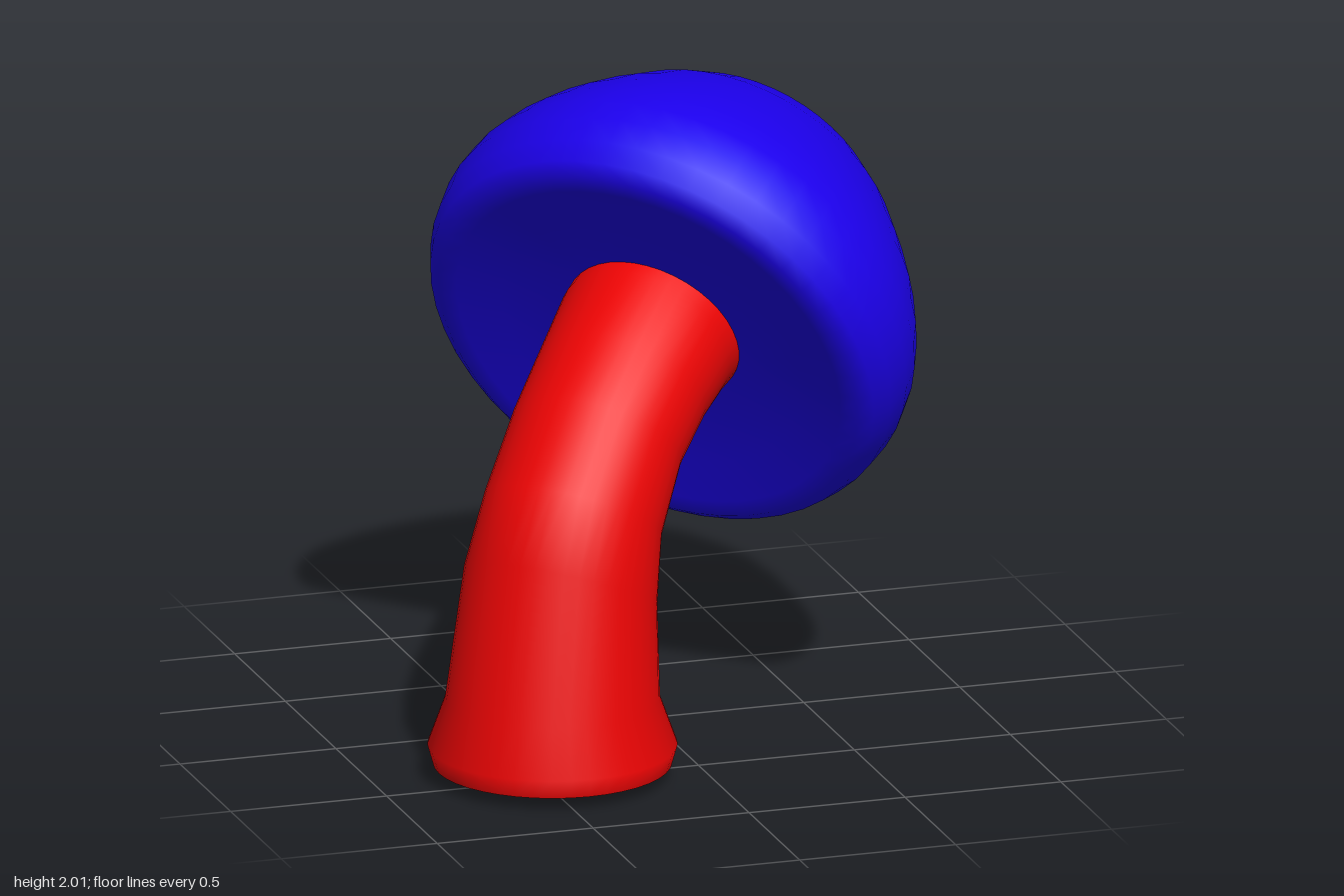
import * as THREE from 'three';

const RED = new THREE.MeshStandardMaterial({ color: 0xec0404 });
const BLUE = new THREE.MeshStandardMaterial({ color: 0x1c00ec });

// Skin through tilted ovals along a path: [x, y, radius, tilt in degrees, sideways radius, sideways shift]
function loft(rings, sides) {
  const positions = [], index = [];
  rings.forEach(([x, y, r, tilt, side = r, shift = 0], i) => {
    const t = THREE.MathUtils.degToRad(tilt);
    for (let j = 0; j < sides; j++) {
      const a = (j / sides) * Math.PI * 2;
      const u = r * Math.cos(a);
      positions.push(x + u * Math.cos(t), y - u * Math.sin(t), shift + side * Math.sin(a));
      if (i === rings.length - 1) continue;
      const k = (j + 1) % sides;
      const p = i * sides + j, q = i * sides + k;
      index.push(p, p + sides, q, q, p + sides, q + sides);
    }
  });
  const geometry = new THREE.BufferGeometry();
  geometry.setAttribute('position', new THREE.Float32BufferAttribute(positions, 3));
  geometry.setIndex(index);
  geometry.computeVertexNormals();
  return geometry;
}

function addMesh(parent, name, geometry, material) {
  const mesh = new THREE.Mesh(geometry, material);
  mesh.name = name;
  parent.add(mesh);
  return mesh;
}

export function createModel() {
  const model = new THREE.Group();
  model.name = 'mushroom';

  // The mushroom bends in one plane, turned towards the back left
  const bent = new THREE.Group();
  bent.name = 'bentMushroom';
  bent.rotation.y = Math.PI / 4;
  model.add(bent);

  // Stem: flared foot, narrow bend, wider again where it enters the cap
  const foot = [-0.64, 0.04, 0.365, 0];
  addMesh(bent, 'stem', loft([
    foot,
    [-0.64, 0.1, 0.382, 0],
    [-0.64, 0.25, 0.328, 0],
    [-0.605, 0.6, 0.305, 26, 0.3, 0.01],
    [-0.53, 0.81, 0.27, 32, 0.28, 0.015],
    [-0.367, 1.01, 0.25, 43, 0.272, 0.015],
    [-0.2, 1.135, 0.252, 52, 0.275, 0.015],
    [-0.04, 1.225, 0.27, 66, 0.285, 0.01],
    [0.12, 1.28, 0.28, 70, 0.29, 0.01],
  ], 40), RED);

  // Slightly bulging underside of the foot
  addMesh(bent, 'stemBase', loft([[-0.64, 0, 0, 0], foot], 40), RED);

  // Cap: nearly flat underside, softly rounded rim, high dome
  const profile = [
    [0, 0.03], [0.28, 0.025], [0.5, 0.01], [0.64, -0.015], [0.7, -0.015],
    [0.74, 0.015], [0.768, 0.08], [0.78, 0.17], [0.768, 0.26], [0.735, 0.35],
    [0.685, 0.445], [0.61, 0.555], [0.52, 0.67], [0.42, 0.77], [0.32, 0.833],
    [0.2, 0.875], [0.1, 0.892], [0, 0.897],
  ].map(([r, h]) => new THREE.Vector2(r, h));
  const cap = addMesh(bent, 'cap', new THREE.LatheGeometry(profile, 48), BLUE);
  cap.position.set(0.015, 1.195, 0);
  cap.rotation.z = THREE.MathUtils.degToRad(-63);

  return model;
}
